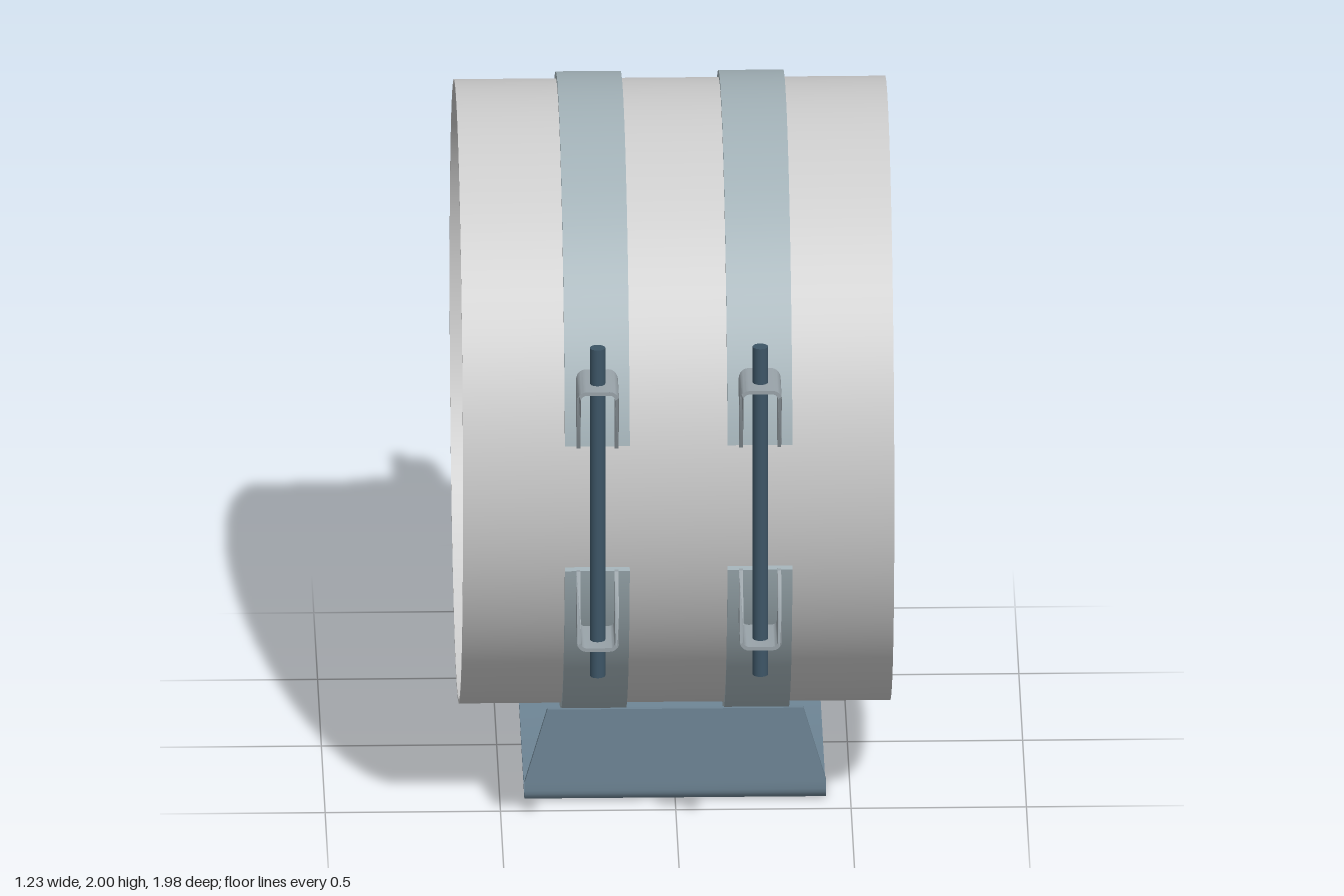
import * as THREE from 'three';
import { toCreasedNormals } from 'three/addons/utils/BufferGeometryUtils.js';

const CY = 1.09;            // height of the pipe axis
const PIPE_R = 0.89, STRAP_R = 0.908;
const STRAP_X = 0.232;      // distance of each strap from the middle
const STRAP_END = 0.19;     // straps stop this far above / below the axis

const material = (color) => new THREE.MeshStandardMaterial({ color });
const grey = material(0xcccccc);
const strapMat = material(0xa1b0b6);
const bracketMat = material(0x98a2a8);
const rodMat = material(0x3d5566);
const baseMat = material(0x6d8494);

function add(parent, name, geometry, mat) {
  const mesh = new THREE.Mesh(geometry, mat);
  mesh.name = name;
  parent.add(mesh);
  return mesh;
}

// Extrude a shape drawn in the z-y plane along x, centred on x = 0
function extrudeX(shape, width) {
  const g = new THREE.ExtrudeGeometry(shape, { depth: width, bevelEnabled: false, curveSegments: 96 });
  g.translate(0, 0, -width / 2);
  g.rotateY(-Math.PI / 2);
  return toCreasedNormals(g, 0.5);
}

// Sheet bent into a U that opens upward, with rounded lower corners;
// extra points at the given heights let the sides be reshaped afterwards
function uShape(halfWidth, y0, y1, r, t, breaks) {
  const half = (w, bottom, rad) => {
    const pts = [];
    for (let i = 0; i <= 5; i++) {
      const a = -Math.PI / 2 + (i / 5) * Math.PI / 2;
      pts.push([w - rad + rad * Math.cos(a), bottom + rad + rad * Math.sin(a)]);
    }
    breaks.forEach((y) => pts.push([w, y]));
    pts.push([w, y1]);
    return pts;
  };
  const full = (p) => [...p.map(([x, y]) => [-x, y]).reverse(), ...p];
  const outer = full(half(halfWidth, y0, r));
  const inner = full(half(halfWidth - t, y0 + t, r - t)).reverse();
  return new THREE.Shape([...outer, ...inner].map(([x, y]) => new THREE.Vector2(x, y)));
}

// Extrude a shape, then set its depth range [near, far] from the height y
function extrudeBetween(shape, range) {
  const g = new THREE.ExtrudeGeometry(shape, { depth: 1, bevelEnabled: false });
  const p = g.attributes.position;
  for (let i = 0; i < p.count; i++) {
    const [near, far] = range(p.getY(i));
    p.setZ(i, near + p.getZ(i) * (far - near));
  }
  return g;
}

function pipeGeometry() {
  const ring = new THREE.Shape().absarc(0, 0, PIPE_R, 0, Math.PI * 2, false);
  ring.holes.push(new THREE.Path().absarc(0, 0, PIPE_R - 0.012, 0, Math.PI * 2, true));
  return extrudeX(ring, 1.23);
}

function strapGeometry() {
  const a = Math.asin(STRAP_END / 0.9);
  const s = new THREE.Shape();
  s.absarc(0, 0, STRAP_R + 0.002, a, Math.PI - a, false);
  s.absarc(0, 0, PIPE_R, Math.PI - a, a, true);
  s.closePath();
  return extrudeX(s, 0.185);
}

// Lower clamp bracket, relative to the pipe axis: inner edge follows the strap
function bracketGeometry() {
  const breaks = [-0.34, -0.3, -0.25];
  const g = extrudeBetween(uShape(0.06, -0.4, -STRAP_END, 0.027, 0.011, breaks), (y) => {
    const k = THREE.MathUtils.clamp((y + 0.37) / (0.37 - STRAP_END), 0, 1);
    return [Math.sqrt(STRAP_R ** 2 - y * y) - 0.002, 0.99 - 0.09 * k];
  });
  return toCreasedNormals(g, 0.5);
}

// Base channel whose side walls taper towards the top
function baseGeometry() {
  const g = extrudeBetween(uShape(0.435, 0, 0.285, 0.035, 0.015, [0.06]), (y) => {
    const h = 0.43 - 0.065 * Math.max(0, (y - 0.06) / 0.225);
    return [-h, h];
  });
  g.rotateY(-Math.PI / 2);
  return toCreasedNormals(g, 0.4);
}

// Cross plate in the base, cut to the curve of the strap
function webGeometry() {
  const w = 0.42, top = 0.283, c = 0.025;
  const a = Math.acos((CY - top) / 0.91);
  const s = new THREE.Shape();
  s.moveTo(-w, top);
  s.lineTo(-w, 0.015 + c);
  s.lineTo(-w + c, 0.015);
  s.lineTo(w - c, 0.015);
  s.lineTo(w, 0.015 + c);
  s.lineTo(w, top);
  s.absarc(0, CY, 0.91, -Math.PI / 2 + a, -Math.PI / 2 - a, true);
  s.closePath();
  return extrudeX(s, 0.02);
}

export function createModel() {
  const model = new THREE.Group();
  model.name = 'pipeSupport';

  add(model, 'pipe', pipeGeometry(), grey).position.y = CY;
  add(model, 'baseChannel', baseGeometry(), baseMat);

  const strap = strapGeometry(), bracket = bracketGeometry(), web = webGeometry();
  const rod = new THREE.CylinderGeometry(0.022, 0.022, 1.01, 20);

  for (const side of [-1, 1]) {
    const clamp = new THREE.Group();
    clamp.name = side > 0 ? 'leftClamp' : 'rightClamp';
    clamp.position.set(side * STRAP_X, CY, 0);
    model.add(clamp);

    add(clamp, 'upperStrap', strap, strapMat);
    add(clamp, 'lowerStrap', strap, strapMat).rotation.x = Math.PI;
    add(clamp, 'baseWeb', web, bracketMat).position.y = -CY;

    // Tie rod with its two brackets, front and back
    for (const turn of [0, Math.PI]) {
      const tie = new THREE.Group();
      tie.name = turn ? 'backTie' : 'frontTie';
      tie.rotation.y = turn;
      clamp.add(tie);
      add(tie, 'tieRod', rod, rodMat).position.set(0, 0.005, 0.923);
      add(tie, 'lowerBracket', bracket, bracketMat);
      add(tie, 'upperBracket', bracket, bracketMat).rotation.z = Math.PI;
    }
  }
  return model;
}
